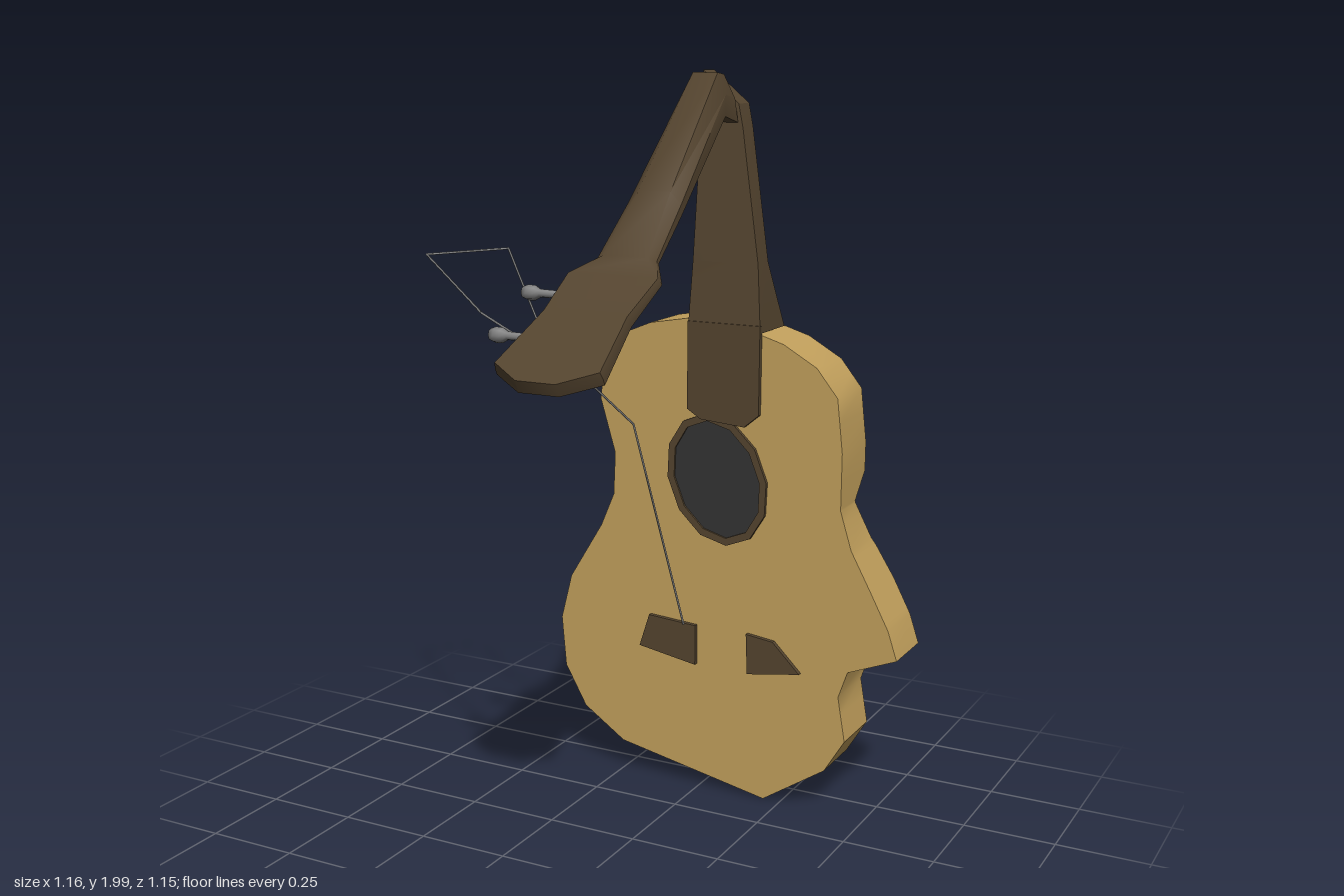
import * as THREE from 'three';
import { toCreasedNormals } from 'three/addons/utils/BufferGeometryUtils.js';

const wood = new THREE.MeshStandardMaterial({ color: 0xc2a05c });
const dark = new THREE.MeshStandardMaterial({ color: 0x54442f });
const black = new THREE.MeshStandardMaterial({ color: 0x343434 });
const metal = new THREE.MeshStandardMaterial({ color: 0x808080 });

// Skin a list of equal-length point loops and close both ends.
function loft(loops, crease = 0.6) {
  const tris = [];
  const add = (a, b, c) => {
    if (new THREE.Triangle(a, b, c).getArea() > 1e-8) tris.push([a, b, c]);
  };
  const rings = loops.map(l => l.map(p => new THREE.Vector3(...p)));
  const n = rings[0].length;
  for (let r = 0; r < rings.length - 1; r++) {
    for (let i = 0; i < n; i++) {
      const j = (i + 1) % n, A = rings[r], B = rings[r + 1];
      add(A[i], A[j], B[j]);
      add(A[i], B[j], B[i]);
    }
  }
  const last = rings[rings.length - 1];
  for (let i = 1; i < n - 1; i++) {
    add(rings[0][0], rings[0][i + 1], rings[0][i]);
    add(last[0], last[i], last[i + 1]);
  }
  // Turn the faces outward if the loops ran the other way round.
  const volume = tris.reduce((s, [a, b, c]) => s + a.dot(b.clone().cross(c)), 0);
  const points = tris.flatMap(t => (volume < 0 ? [t[0], t[2], t[1]] : t));
  return toCreasedNormals(new THREE.BufferGeometry().setFromPoints(points), crease);
}

// Piecewise-linear lookup in a list of [key, value] sorted by key.
function lookup(list, k) {
  if (k <= list[0][0]) return list[0][1];
  for (let i = 1; i < list.length; i++) {
    const [k0, v0] = list[i - 1], [k1, v1] = list[i];
    if (k <= k1) return v0 + (v1 - v0) * (k - k0) / (k1 - k0);
  }
  return list[list.length - 1][1];
}

// Flat plate cut from an outline, lying on the body front.
function plate(points, z, depth, holes = []) {
  const shape = new THREE.Shape(points.map(p => new THREE.Vector2(...p)));
  for (const h of holes) shape.holes.push(new THREE.Path(h.map(p => new THREE.Vector2(...p))));
  return new THREE.ExtrudeGeometry(shape, { depth, bevelEnabled: false }).translate(0, 0, z);
}

// Tilted oval polygon for the sound hole.
function oval(rx, ry, sides = 12, tilt = 0.38) {
  return Array.from({ length: sides }, (_, i) => {
    const a = (i + 0.5) / sides * Math.PI * 2, u = Math.cos(a) * rx, v = Math.sin(a) * ry;
    return [0.048 + u * Math.cos(tilt) - v * Math.sin(tilt), 0.91 + u * Math.sin(tilt) + v * Math.cos(tilt)];
  });
}

export function createModel() {
  const model = new THREE.Group();
  const add = (name, geometry, material, parent = model) => {
    const mesh = new THREE.Mesh(geometry, material);
    mesh.name = name;
    parent.add(mesh);
    return mesh;
  };

  // Body: left edge, right edge (with the broken bite) and dented back, all by height.
  const leftEdge = [[0.005, 0.2], [0.095, -0.245], [0.18, -0.37], [0.295, -0.435], [0.44, -0.448],
    [0.57, -0.415], [0.735, -0.315], [0.83, -0.275], [0.95, -0.27], [1.1, -0.315], [1.205, -0.305],
    [1.29, -0.245], [1.325, -0.16], [1.348, -0.03]];
  const rightEdge = [[0.005, 0.2], [0.125, 0.38], [0.22, 0.437], [0.345, 0.415], [0.42, 0.44],
    [0.475, 0.577], [0.555, 0.55], [0.65, 0.5], [0.76, 0.44], [0.865, 0.407], [1.02, 0.407],
    [1.165, 0.39], [1.24, 0.33], [1.295, 0.235], [1.33, 0.12], [1.348, -0.03]];
  const backDepth = [[0, -0.572], [0.65, -0.572], [0.74, -0.558], [0.87, -0.505], [0.94, -0.572], [1.4, -0.572]];
  const heights = [...new Set([...leftEdge, ...rightEdge, ...backDepth.slice(1, -1)].map(p => p[0]))]
    .sort((a, b) => a - b);
  add('body', loft(heights.map(y => {
    const l = lookup(leftEdge, y), r = lookup(rightEdge, y), b = lookup(backDepth, y);
    return [[l, y, -0.4], [r, y, -0.4], [r, y, b], [l, y, b]];
  })), wood);

  // Sound hole and its ring
  const outer = oval(0.145, 0.187), inner = oval(0.125, 0.166);
  add('soundHole', plate(inner, -0.4, 0.004), black);
  add('soundHoleRing', plate(outer, -0.4, 0.01, [inner]), dark);

  // Bridge, snapped in two
  add('bridgeRight', plate([[-0.185, 0.4], [-0.01, 0.37], [-0.01, 0.485], [-0.155, 0.495]], -0.4, 0.013), dark);
  add('bridgeLeft', plate([[0.15, 0.37], [0.305, 0.395], [0.225, 0.475], [0.145, 0.485]], -0.4, 0.013), dark);

  // Fretboard end lying on the body
  add('fretboardEnd', plate([[-0.04, 1.1], [0.0, 1.075], [0.13, 1.065], [0.172, 1.1],
    [0.172, 1.34], [-0.04, 1.34]], -0.4, 0.014), dark);

  // Neck stump with heel: [y left, y right, x left, x right, z front, z back]
  add('neckStump', loft([
    [1.32, 1.32, -0.04, 0.172, -0.388, -0.547],
    [1.5, 1.5, -0.035, 0.155, -0.405, -0.47],
    [1.85, 1.85, -0.027, 0.095, -0.428, -0.492],
    [1.995, 1.91, -0.025, 0.078, -0.437, -0.502],
  ].map(([yl, yr, l, r, f, b]) => [[l, yl, f], [r, yr, f], [r, yr, b], [l, yl, b]])), dark);

  // Snapped-off neck and headstock, back side up:
  // [z top, y top, z bottom, y bottom, x left, x right, width of the top]
  add('brokenNeck', loft([
    [-0.39, 1.985, -0.43, 1.862, -0.035, 0.08, 0.6],
    [-0.345, 1.99, -0.345, 1.88, -0.034, 0.084, 0.6],
    [0.0, 1.715, 0.0, 1.655, -0.012, 0.132, 0.6],
    [0.17, 1.575, 0.15, 1.56, -0.008, 0.15, 0.75],
    [0.225, 1.537, 0.21, 1.52, -0.055, 0.19, 0.97],
    [0.355, 1.465, 0.34, 1.44, -0.045, 0.18, 0.97],
    [0.53, 1.368, 0.515, 1.338, -0.07, 0.208, 0.97],
    [0.577, 1.342, 0.562, 1.312, 0.015, 0.12, 0.97],
  ].map(([zt, yt, zb, yb, l, r, w]) => {
    const c = (l + r) / 2, h = (r - l) / 2 * w, zm = (zt + zb) / 2, ym = (yt + yb) / 2;
    return [[l, yb, zb], [r, yb, zb], [r, ym, zm], [c + h, yt, zt], [c - h, yt, zt], [l, ym, zm]];
  }), 0.8), dark);

  // Nut, tuners and string posts on the tilted headstock
  const slope = Math.atan2(0.195, 0.352);
  const nut = add('nut', new THREE.BoxGeometry(0.16, 0.014, 0.022), metal);
  nut.position.set(0.071, 1.545, 0.165);
  nut.rotation.x = slope;
  const knob = [[0, 0], [0.014, 0.004], [0.019, 0.018], [0.018, 0.036], [0.01, 0.05], [0.009, 0.1], [0, 0.1]];
  for (const [z, y] of [[0.285, 1.492], [0.43, 1.412]]) {
    const tuner = add('tuner', new THREE.LatheGeometry(knob.map(p => new THREE.Vector2(...p)), 8), metal);
    tuner.rotation.z = -Math.PI / 2;
    tuner.position.set(-0.142, y, z);
    for (const x of [0.015, 0.12]) {
      const post = add('stringPost', new THREE.CylinderGeometry(0.013, 0.016, 0.05, 8), metal);
      post.rotation.x = slope;
      post.position.set(x, y - 0.025, z - 0.01);
    }
  }

  // Loose string from bridge to tuner, kinked
  const kinks = [[-0.045, 0.485, -0.385], [-0.115, 1.08, -0.22], [-0.26, 1.322, -0.013], [-0.43, 1.54, -0.113],
    [-0.58, 1.532, 0.045], [-0.22, 1.445, 0.345], [-0.05, 1.405, 0.43]].map(p => new THREE.Vector3(...p));
  const string = new THREE.Group();
  string.name = 'looseString';
  model.add(string);
  for (let i = 1; i < kinks.length; i++) {
    const line = new THREE.LineCurve3(kinks[i - 1], kinks[i]);
    add('stringSegment', new THREE.TubeGeometry(line, 1, 0.003, 5), metal, string);
  }
  return model;
}
